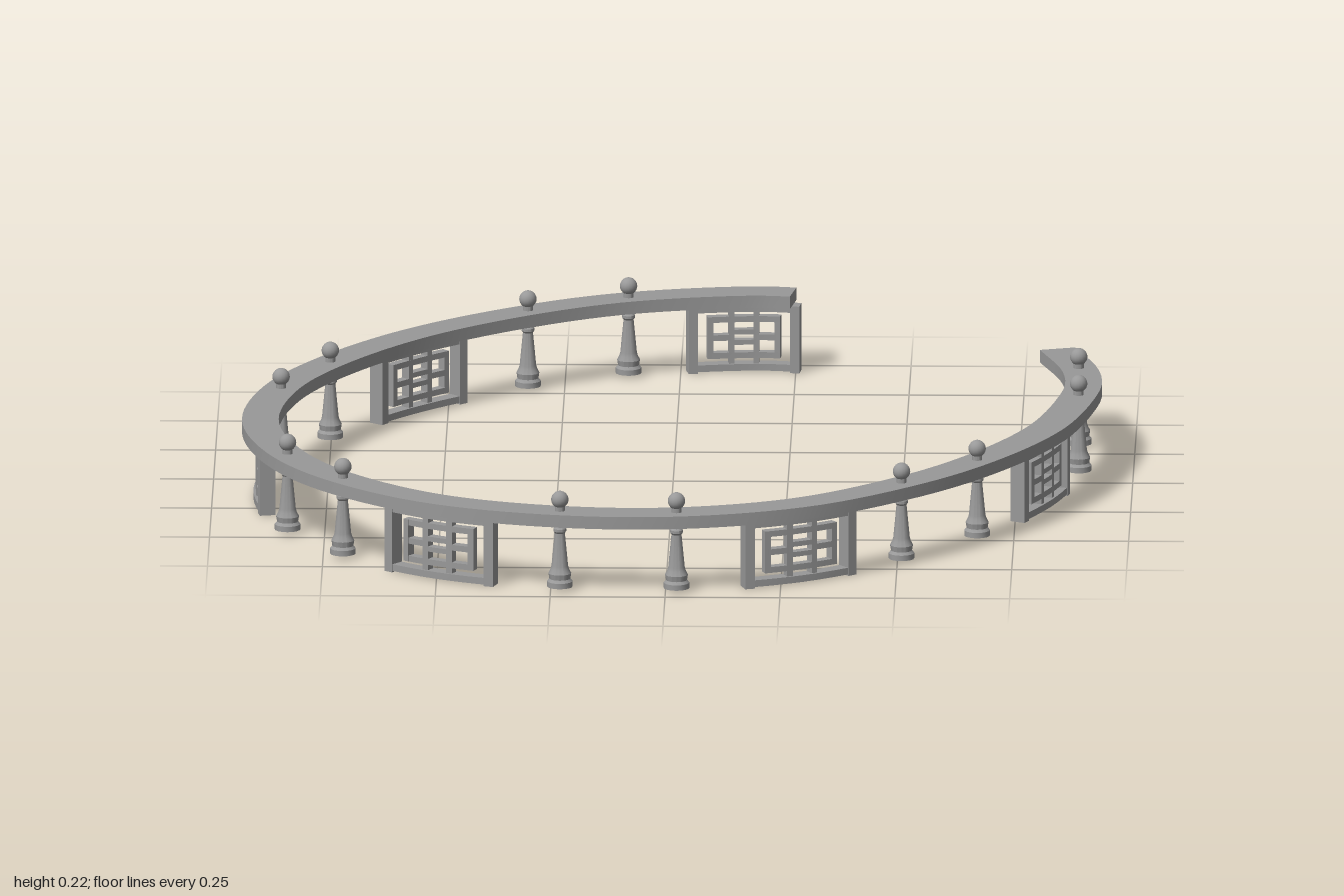
import * as THREE from 'three';
import { mergeGeometries, toCreasedNormals } from 'three/addons/utils/BufferGeometryUtils.js';

const material = new THREE.MeshStandardMaterial({ color: 0x999999 });

// Post positions (x, z), in pairs round the open ring
const posts = [
  [-0.113, -0.902], [-0.33, -0.786], [-0.752, -0.336], [-0.855, -0.108],
  [-0.831, 0.458], [-0.707, 0.664], [-0.23, 0.939], [0.024, 0.947],
  [0.509, 0.683], [0.67, 0.484], [0.881, -0.079], [0.877, -0.31],
];

// Centreline of the ring, through the posts and the middle of each wide gap
const path = [
  [0.262, -0.948], [0.16, -0.959], posts[0], posts[1], [-0.567, -0.586],
  posts[2], posts[3], [-0.895, 0.18], posts[4], posts[5], [-0.498, 0.846],
  posts[6], posts[7], [0.288, 0.862], posts[8], posts[9], [0.813, 0.21],
  posts[10], [0.89, -0.19], posts[11], [0.828, -0.474],
];
const curve = new THREE.CatmullRomCurve3(path.map(([x, z]) => new THREE.Vector3(x, 0, z)));
curve.arcLengthDivisions = 800;
const total = curve.getLength();

// Distance along the centreline nearest to a point
function distanceAt([x, z]) {
  let best = 0, least = Infinity;
  for (let i = 0; i <= 1500; i++) {
    const p = curve.getPointAt(i / 1500);
    const d = Math.hypot(p.x - x, p.z - z);
    if (d < least) { least = d; best = (i / 1500) * total; }
  }
  return best;
}

// Rectangular bar that follows the centreline from distance s0 to s1
function bar(s0, s1, y0, y1, depth) {
  const n = Math.max(1, Math.ceil((s1 - s0) / 0.04));
  const pos = [], index = [];
  for (let k = 0; k <= n; k++) {
    const u = THREE.MathUtils.clamp((s0 + (s1 - s0) * k / n) / total, 0, 1);
    const p = curve.getPointAt(u), t = curve.getTangentAt(u);
    const ox = -t.z * depth / 2, oz = t.x * depth / 2;
    for (const [side, y] of [[1, y0], [1, y1], [-1, y1], [-1, y0]]) {
      pos.push(p.x + ox * side, y, p.z + oz * side);
    }
    if (k === n) break;
    for (let j = 0; j < 4; j++) {
      const a = k * 4 + j, b = k * 4 + (j + 1) % 4;
      index.push(a, a + 4, b + 4, a, b + 4, b);
    }
  }
  const e = n * 4;
  index.push(0, 1, 2, 0, 2, 3, e, e + 2, e + 1, e, e + 3, e + 2);
  const g = new THREE.BufferGeometry();
  g.setAttribute('position', new THREE.Float32BufferAttribute(pos, 3));
  g.setIndex(index);
  return toCreasedNormals(g, 0.5);
}

// Curved lattice panel: heavy frame round a block of chunky cross bars
function panel(mid, width) {
  const parts = [];
  const add = (a, b, y0, y1, d) => parts.push(bar(mid + a * width, mid + b * width, y0, y1, d));
  // outer frame
  for (const s of [-1, 1]) add(s * 0.46 - 0.04, s * 0.46 + 0.04, 0, 0.15, 0.034);
  add(-0.42, 0.42, 0.003, 0.018, 0.03);
  add(-0.42, 0.42, 0.135, 0.15, 0.03);
  // inner uprights and side bars
  for (const s of [-1, 1]) {
    add(s * 0.3 - 0.025, s * 0.3 + 0.025, 0.03, 0.124, 0.02);
    add(s * 0.11 - 0.025, s * 0.11 + 0.025, 0.018, 0.135, 0.02);
    add(s * 0.205 - 0.095, s * 0.205 + 0.095, 0.07, 0.083, 0.02);
  }
  // inner rails and centre bars
  add(-0.325, 0.325, 0.03, 0.043, 0.02);
  add(-0.325, 0.325, 0.111, 0.124, 0.02);
  add(-0.11, 0.11, 0.06, 0.071, 0.02);
  add(-0.11, 0.11, 0.083, 0.094, 0.02);
  return mergeGeometries(parts);
}

export function createModel() {
  const model = new THREE.Group();
  const add = (name, geometry, parent = model) => {
    const mesh = new THREE.Mesh(geometry, material);
    mesh.name = name;
    parent.add(mesh);
    return mesh;
  };

  // Handrail
  add('handrail', bar(0.018, total, 0.15, 0.178, 0.08));

  // Turned posts with a ball finial above the rail
  const profile = [
    [0, 0.008], [0.028, 0.008], [0.028, 0.02], [0.023, 0.026], [0.025, 0.038], [0.02, 0.048],
    [0.018, 0.055], [0.011, 0.128], [0.014, 0.132], [0.014, 0.138], [0.011, 0.142], [0.011, 0.19],
  ].map(([r, y]) => new THREE.Vector2(r, y));
  const postGeometry = toCreasedNormals(new THREE.LatheGeometry(profile, 16), 0.6);
  const ballGeometry = new THREE.SphereGeometry(0.019, 16, 12);
  posts.forEach(([x, z]) => {
    const post = new THREE.Group();
    post.name = 'post';
    post.position.set(x, 0, z);
    add('postShaft', postGeometry, post);
    add('ballFinial', ballGeometry, post).position.y = 0.203;
    model.add(post);
  });

  // Lattice panels: one at the rail's end, the rest midway between post pairs
  add('endPanel', panel(0.126, 0.248));
  for (let i = 1; i < posts.length - 1; i += 2) {
    const mid = (distanceAt(posts[i]) + distanceAt(posts[i + 1])) / 2;
    add('latticePanel', panel(mid, 0.27));
  }
  return model;
}
